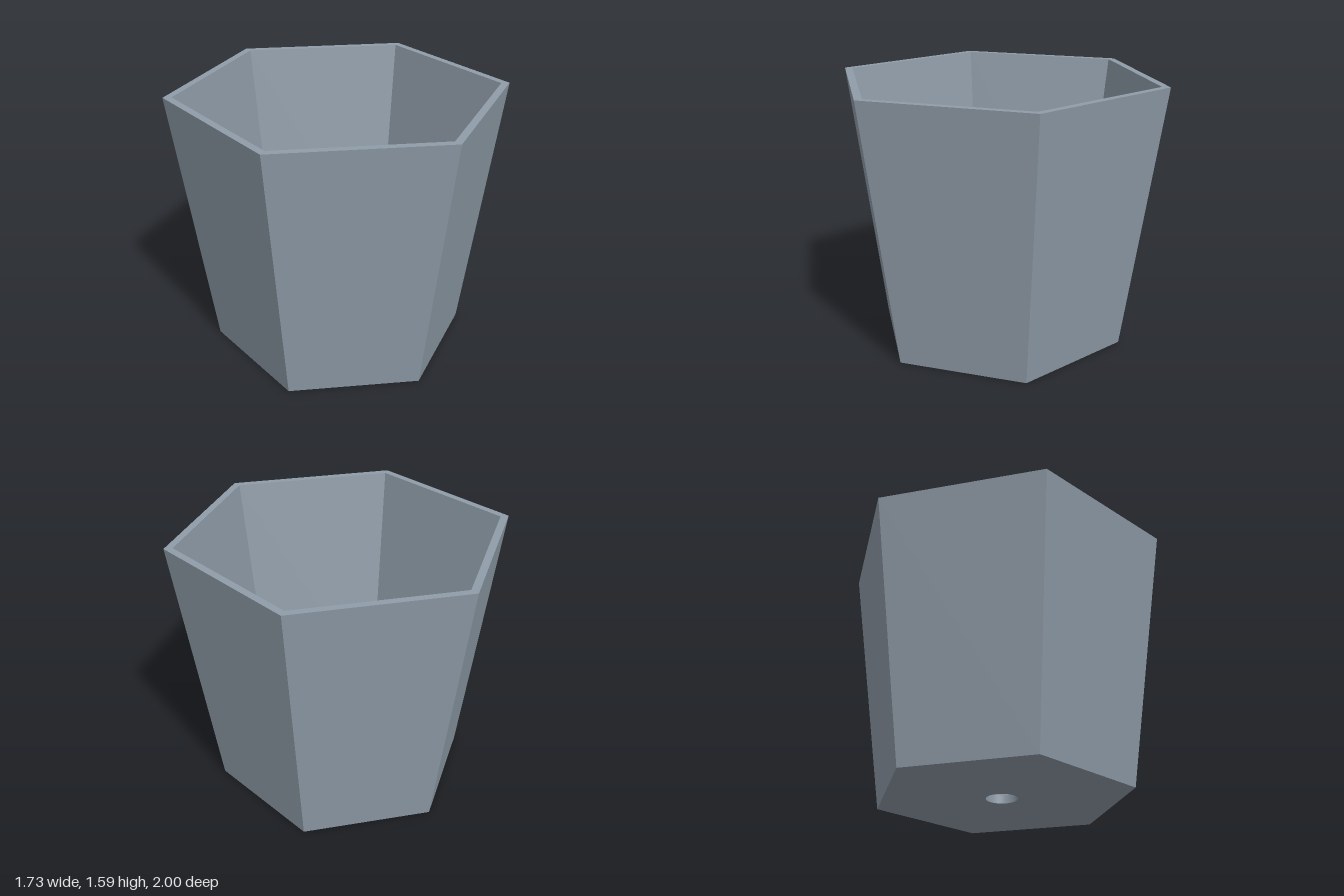
import * as THREE from 'three';

const HEIGHT = 1.59, FLOOR = 0.05;
const BASE_R = 0.77, RIM_R = 1, INNER_RIM_R = 0.95, INNER_BASE_R = 0.727;
const HOLE_R = 0.093, HOLE_SIDES = 48;

// Hexagonal plate with a round drain hole, lying flat and facing up or down
function holedHexagon(radius, y, facingUp) {
  const points = [];
  for (let i = 0; i < 6; i++) {
    const a = i * Math.PI / 3;
    points.push(new THREE.Vector2(radius * Math.sin(a), radius * Math.cos(a)));
  }
  const shape = new THREE.Shape(points);
  shape.holes.push(new THREE.Path().absarc(0, 0, HOLE_R, 0, Math.PI * 2));
  const geometry = new THREE.ShapeGeometry(shape, HOLE_SIDES / 2);
  geometry.rotateX(facingUp ? -Math.PI / 2 : Math.PI / 2);
  return geometry.translate(0, y, 0);
}

function lathe(profile, sides) {
  return new THREE.LatheGeometry(profile.map(([r, y]) => new THREE.Vector2(r, y)), sides);
}

export function createModel() {
  const group = new THREE.Group();
  group.name = 'hexagonalPlanter';
  const clay = new THREE.MeshStandardMaterial({ color: 0x8f9ca8 });
  clay.name = 'blueGrey';

  const add = (name, geometry) => {
    const mesh = new THREE.Mesh(geometry, clay);
    mesh.name = name;
    group.add(mesh);
  };

  // Tapered six-sided wall: outside, rim and inside, with crisp edges
  const wall = lathe([
    [BASE_R, 0], [RIM_R, HEIGHT], [INNER_RIM_R, HEIGHT], [INNER_BASE_R, FLOOR],
  ], 6).toNonIndexed();
  wall.computeVertexNormals();
  add('wall', wall);

  // Floor seen from inside and underside, joined by the drain hole
  add('floor', holedHexagon(INNER_BASE_R, FLOOR, true));
  add('underside', holedHexagon(BASE_R, 0, false));
  add('drainHole', lathe([[HOLE_R, FLOOR], [HOLE_R, 0]], HOLE_SIDES));

  return group;
}
